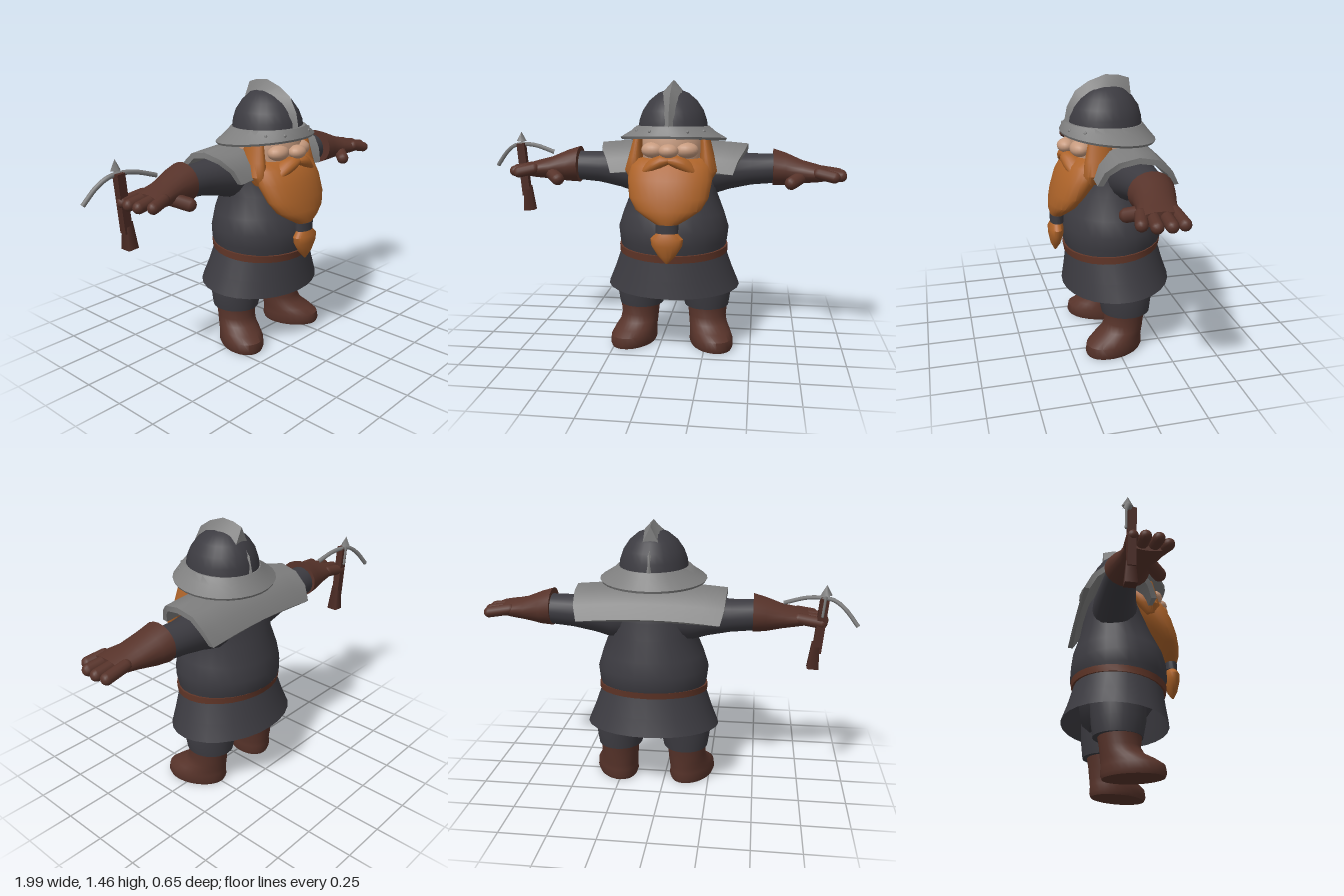
import * as THREE from 'three';
import { toCreasedNormals } from 'three/addons/utils/BufferGeometryUtils.js';

const mat = (name, color, side = THREE.FrontSide) => {
  const m = new THREE.MeshStandardMaterial({ color, side });
  m.name = name;
  return m;
};

// Joins rows of points into a closed, capped skin
function skin(rows, caps = true) {
  const n = rows[0].length, pos = rows.flat(2), index = [];
  for (let i = 0; i < rows.length - 1; i++)
    for (let j = 0; j < n; j++) {
      const k = (j + 1) % n, a = i * n + j, b = i * n + k;
      index.push(a, b, a + n, b, b + n, a + n);
    }
  if (caps) [0, rows.length - 1].forEach((r) => {
    const c = pos.length / 3;
    pos.push(...[0, 1, 2].map((d) => rows[r].reduce((s, p) => s + p[d], 0) / n));
    for (let j = 0; j < n; j++) {
      const k = (j + 1) % n;
      index.push(c, r * n + (r ? j : k), r * n + (r ? k : j));
    }
  });
  const g = new THREE.BufferGeometry();
  g.setAttribute('position', new THREE.Float32BufferAttribute(pos, 3));
  g.setIndex(index);
  return toCreasedNormals(g, 0.75);
}

const angles = (n) => Array.from({ length: n }, (_, j) => (j / n) * Math.PI * 2);

// Upright loft; section = [y, x, z, rx, rz, tilt]
function loftY(sections, s = 1, caps = true) {
  return skin(sections.map(([y, x, z, rx, rz, tilt = 0]) => angles(28).map((a) =>
    [s * x + rx * Math.sin(a), y + tilt * Math.cos(a), z + rz * Math.cos(a)])), caps);
}

// Sideways loft; section = [x, y, z, ry, rz]
function loftX(sections, s = 1) {
  return skin(sections.map((c) => [s * c[0], ...c.slice(1)]).sort((a, b) => a[0] - b[0])
    .map(([x, y, z, ry, rz]) => angles(20).map((a) =>
      [x, y + ry * Math.cos(a), z + rz * Math.sin(a)])));
}

// Round-ended rod between two points
function rod(p, q, r) {
  const a = new THREE.Vector3(...p), b = new THREE.Vector3(...q), d = b.clone().sub(a);
  const g = new THREE.CapsuleGeometry(r, d.length(), 5, 12);
  g.applyQuaternion(new THREE.Quaternion().setFromUnitVectors(
    new THREE.Vector3(0, 1, 0), d.clone().normalize()));
  const m = a.add(b).multiplyScalar(0.5);
  return g.translate(m.x, m.y, m.z);
}

const ball = (x, y, z, rx, ry, rz) =>
  new THREE.SphereGeometry(1, 20, 14).scale(rx, ry, rz).translate(x, y, z);

export function createModel() {
  const cloth = mat('charcoal cloth', 0x3c3b41, THREE.DoubleSide);
  const steel = mat('grey steel', 0x7e7e7e);
  const leather = mat('brown leather', 0x57332a);
  const strap = mat('belt leather', 0x613628);
  const hair = mat('ginger hair', 0xad6329);
  const skinTone = mat('skin', 0xc69a7e);
  const wood = mat('dark wood', 0x4c2b24);

  const model = new THREE.Group();
  const body = new THREE.Group();
  body.name = 'body';
  body.position.x = 0.065;
  model.add(body);
  const add = (name, geo, material, parent = body) => {
    const m = new THREE.Mesh(geo, material);
    m.name = name;
    parent.add(m);
    return m;
  };

  // Tunic, belt and skirt
  add('torso', loftY([
    [0.53, 0, -0.02, 0.28, 0.24, -0.02], [0.6, 0, -0.02, 0.295, 0.268], [0.67, 0, -0.02, 0.303, 0.265],
    [0.75, 0, -0.025, 0.278, 0.25], [0.86, 0, -0.035, 0.235, 0.205], [0.95, 0, -0.05, 0.24, 0.175],
    [1.05, 0, -0.06, 0.24, 0.14], [1.11, 0, -0.06, 0.15, 0.1]]), cloth);
  add('belt', loftY([[0.535, 0, -0.02, 0.298, 0.258, -0.023], [0.572, 0, -0.02, 0.299, 0.264, -0.021]]), strap);
  add('skirt', loftY([[0.34, 0, -0.04, 0.365, 0.29, -0.02], [0.43, 0, -0.03, 0.328, 0.268, -0.02],
    [0.545, 0, -0.02, 0.288, 0.245, -0.02]], 1, false), cloth);
  add('hips', loftY([[0.33, 0, -0.055, 0.2, 0.12], [0.38, 0, -0.05, 0.28, 0.17], [0.5, 0, -0.02, 0.27, 0.22]]), cloth);

  for (const s of [1, -1]) {
    const side = s > 0 ? 'left' : 'right';
    // Trousers, and boots with the toes turned out
    add(side + 'TrouserLeg', loftY([[0.215, 0.185, -0.055, 0.122, 0.13], [0.3, 0.182, -0.052, 0.138, 0.143],
      [0.42, 0.165, -0.05, 0.14, 0.15]], s), cloth);
    const boot = add(side + 'Boot', loftY([
      [0, 0, 0.07, 0.106, 0.16], [0.02, 0, 0.07, 0.114, 0.168], [0.06, 0, 0.068, 0.112, 0.163],
      [0.09, 0, 0.045, 0.108, 0.142], [0.12, 0, 0.015, 0.104, 0.115], [0.16, 0, 0.002, 0.104, 0.105],
      [0.235, 0, 0, 0.111, 0.117]]), leather);
    boot.position.set(s * 0.19, 0, -0.047);
    boot.rotation.y = s * 0.4;

    // Sleeves and gloves
    add(side + 'Sleeve', loftX([[0.1, 0.965, -0.06, 0.13, 0.13], [0.2, 0.965, -0.075, 0.13, 0.122],
      [0.3, 0.972, -0.085, 0.105, 0.105], [0.42, 0.978, -0.092, 0.086, 0.09], [0.56, 0.985, -0.09, 0.08, 0.082]], s), cloth);
    add(side + 'Glove', loftX([[0.535, 0.993, -0.075, 0.1, 0.115], [0.6, 0.985, -0.07, 0.088, 0.105],
      [0.69, 0.973, -0.052, 0.062, 0.096], [0.77, 0.968, -0.032, 0.047, 0.103],
      [0.82, 0.965, -0.025, 0.035, 0.1]], s), leather);
    [[-0.115, 0.885], [-0.055, 0.895], [0.01, 0.89], [0.066, 0.85]].forEach(([z, tip], i) =>
      add(side + 'Finger' + (i + 1), rod([s * 0.77, 0.975, z * 0.85 - 0.01], [s * tip, 0.958, z], 0.03), leather));
    add(side + 'Thumb', rod([s * 0.69, 0.955, 0.0], [s * 0.63, 0.925, 0.07], 0.035), leather);

    // Sideburns, moustache, cheeks and ears
    add(side + 'Sideburn', loftY([[0.94, 0.195, 0.13, 0.02, 0.03], [0.99, 0.2, 0.115, 0.045, 0.06],
      [1.06, 0.19, 0.09, 0.038, 0.072], [1.18, 0.175, 0.075, 0.022, 0.062]], s), hair);
    add(side + 'Moustache', loftX([[0, 1.05, 0.222, 0.018, 0.026], [0.04, 1.043, 0.214, 0.036, 0.046],
      [0.09, 1.02, 0.2, 0.04, 0.05], [0.14, 0.985, 0.178, 0.033, 0.05], [0.18, 0.95, 0.155, 0.012, 0.025]], s), hair);
    add(side + 'Cheek', ball(s * 0.085, 1.1, 0.165, 0.065, 0.042, 0.052), skinTone);
    add(side + 'Ear', ball(s * 0.178, 1.12, 0.005, 0.022, 0.045, 0.035), skinTone);
  }

  // Head and beard
  add('head', loftY([[1.0, 0, 0.05, 0.15, 0.14], [1.08, 0, 0.05, 0.164, 0.155], [1.16, 0, 0.045, 0.166, 0.158],
    [1.22, 0, 0.03, 0.15, 0.15]]), skinTone);
  add('nose', ball(0, 1.1, 0.222, 0.052, 0.036, 0.045), skinTone);
  add('backHair', ball(0, 1.12, -0.04, 0.165, 0.12, 0.12), hair);
  add('beard', loftY([
    [0.725, 0, 0.278, 0.05, 0.032], [0.76, 0, 0.265, 0.11, 0.055], [0.8, 0, 0.245, 0.17, 0.072],
    [0.86, 0, 0.215, 0.207, 0.09], [0.95, 0, 0.165, 0.222, 0.115], [1.02, 0, 0.125, 0.217, 0.115],
    [1.055, 0, 0.09, 0.2, 0.105]]), hair);
  add('beardTie', loftY([[0.685, 0, 0.278, 0.058, 0.035], [0.73, 0, 0.278, 0.06, 0.036]]), cloth);
  add('beardTuft', loftY([[0.525, 0, 0.288, 0.005, 0.005], [0.565, 0, 0.287, 0.045, 0.026],
    [0.62, 0, 0.285, 0.08, 0.039], [0.655, 0, 0.284, 0.085, 0.041], [0.69, 0, 0.28, 0.05, 0.03]]), hair);

  // Arched shoulder plate; row = [z, y, half width]
  const arch = [[0.13, 0.97, 0.325], [0.1, 1.04, 0.35], [0.04, 1.095, 0.385], [-0.06, 1.12, 0.4],
    [-0.16, 1.1, 0.396], [-0.23, 1.04, 0.39], [-0.27, 0.965, 0.37]];
  const across = [-1, -0.75, -0.5, -0.25, 0, 0.25, 0.5, 0.75, 1];
  add('shoulderPlate', skin(arch.map(([z, y, w]) => {
    const outer = across.map((u) => [u * w, y + 0.02 * (1 - u * u), z]);
    const d = new THREE.Vector2(-0.06 - z, 0.95 - y).setLength(0.03);
    const inner = outer.map((p) => [p[0], p[1] + d.y, p[2] + d.x]).reverse();
    return [...outer, ...inner];
  })), steel);

  // Helmet: brim, dome, rivets and ridged crest
  add('helmetBrim', loftY([[1.14, 0, 0, 0.28, 0.245, 0.024], [1.152, 0, 0, 0.287, 0.25, 0.024],
    [1.19, 0, 0.012, 0.225, 0.225, 0.017], [1.217, 0, 0.02, 0.195, 0.205, 0.008]]), steel);
  add('helmetDome', loftY([[1.2, 0, 0.015, 0.187, 0.195], [1.25, 0, 0.015, 0.18, 0.19], [1.3, 0, 0.012, 0.162, 0.172],
    [1.35, 0, 0.01, 0.128, 0.137], [1.39, 0, 0.005, 0.08, 0.09], [1.405, 0, 0.003, 0.04, 0.045],
    [1.41, 0, 0.003, 0.005, 0.005]]), cloth);
  for (const a of [-0.9, -0.45, 0.45, 0.9])
    add('rivet', ball(0.222 * Math.sin(a), 1.198, 0.015 + 0.224 * Math.cos(a), 0.009, 0.009, 0.009), steel);
  // Row = [ridge z, ridge y, base z, base y, half width]
  const ridge = (rows) => skin(rows.map(([z, y, bz, by, w]) => [[-w, by, bz], [0, y, z], [w, by, bz]]));
  add('helmetCrest', ridge([[0.232, 1.2, 0.19, 1.2, 0.042], [0.212, 1.3, 0.17, 1.28, 0.046],
    [0.168, 1.38, 0.125, 1.345, 0.05], [0.1, 1.425, 0.07, 1.39, 0.052], [0.01, 1.457, 0.0, 1.4, 0.052],
    [-0.06, 1.452, -0.06, 1.38, 0.05], [-0.115, 1.435, -0.115, 1.34, 0.047]]), steel);
  add('rearRidge', ridge([[-0.11, 1.365, -0.08, 1.34, 0.045], [-0.168, 1.295, -0.14, 1.285, 0.04],
    [-0.188, 1.21, -0.16, 1.2, 0.036]]), steel);

  // Hand crossbow
  const bow = new THREE.Group();
  bow.name = 'crossbow';
  model.add(bow);
  const stock = add('stock', new THREE.BoxGeometry(0.045, 0.3, 0.04), wood, bow);
  stock.position.set(-0.816, 0.95, -0.12);
  stock.rotation.z = 0.09;
  const butt = add('butt', new THREE.CylinderGeometry(0.026, 0.042, 0.14, 4, 1).rotateY(Math.PI / 4), wood, bow);
  butt.position.set(-0.792, 0.785, -0.12);
  butt.rotation.z = 0.06;
  const limb = [[-0.995, 0.965, -0.185], [-0.93, 1.045, -0.16], [-0.875, 1.085, -0.14], [-0.815, 1.095, -0.13],
    [-0.74, 1.09, -0.115], [-0.625, 1.055, -0.095]].map((p) => new THREE.Vector3(...p));
  add('bowLimb', new THREE.TubeGeometry(new THREE.CatmullRomCurve3(limb), 24, 0.012, 6), steel, bow);
  add('boltShaft', rod([-0.82, 1.0, -0.145], [-0.832, 1.12, -0.145], 0.007), steel, bow);
  add('boltTip', new THREE.ConeGeometry(0.03, 0.055, 4).translate(-0.833, 1.138, -0.14), steel, bow);
  return model;
}
